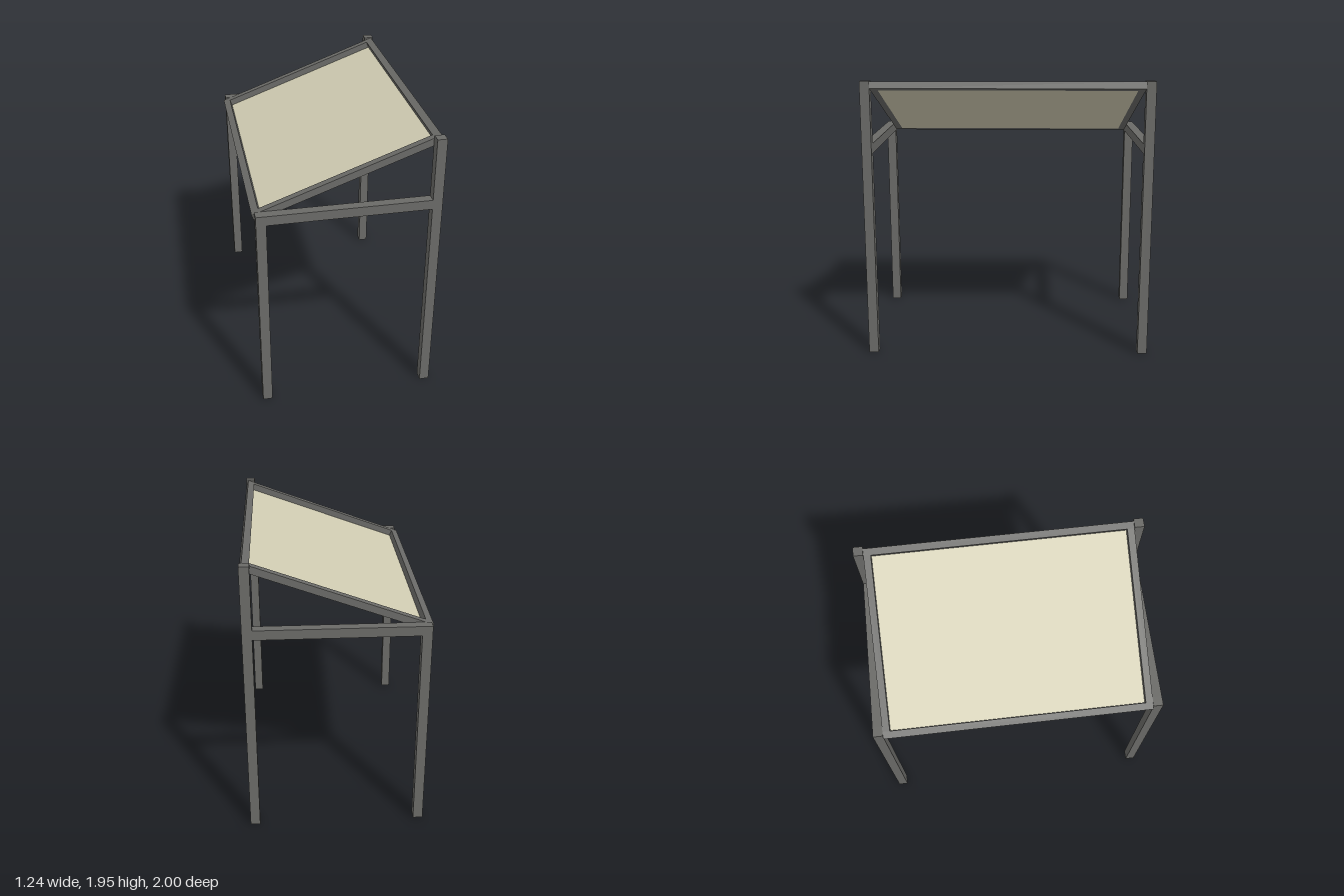
import * as THREE from 'three';

export function createModel() {
  const model = new THREE.Group();
  model.name = 'slopedShelter';

  const steel = new THREE.MeshStandardMaterial({ color: 0x6a6a67 });
  steel.name = 'grey steel';
  const sheet = new THREE.MeshStandardMaterial({ color: 0xd0ccb2 });
  sheet.name = 'cream sheet';

  // Box given by its limits on each axis
  function box(parent, name, material, [x0, x1], [y0, y1], [z0, z1]) {
    const mesh = new THREE.Mesh(new THREE.BoxGeometry(x1 - x0, y1 - y0, z1 - z0), material);
    mesh.position.set((x0 + x1) / 2, (y0 + y1) / 2, (z0 + z1) / 2);
    mesh.name = name;
    parent.add(mesh);
  }

  // Two side supports: tall post, short post and level beam
  for (const [side, z] of [['front', [0.933, 1]], ['back', [-1, -0.933]]]) {
    box(model, side + 'TallPost', steel, [0.55, 0.617], [0, 1.947], z);
    box(model, side + 'ShortPost', steel, [-0.605, -0.538], [0.005, 1.515], z);
    box(model, side + 'Beam', steel, [-0.538, 0.55], [1.448, 1.515], z);
  }

  // Sloped roof frame, built flat and then tilted
  const roof = new THREE.Group();
  roof.name = 'roof';
  roof.position.set(-0.002, 1.6965, 0);
  roof.rotation.z = Math.atan2(0.45, 1.222);
  model.add(roof);

  const L = 0.651, W = 0.933, T = 0.025, B = 0.05;
  box(roof, 'lowerRail', steel, [-L, -L + B], [-T, T], [-W, W]);
  box(roof, 'upperRail', steel, [L - B, L], [-T, T], [-W, W]);
  box(roof, 'frontRail', steel, [-L + B, L - B], [-T, T], [W - B, W]);
  box(roof, 'backRail', steel, [-L + B, L - B], [-T, T], [-W, -W + B]);

  // Thin covering near the underside of the frame
  box(roof, 'roofSheet', sheet, [-L + B, L - B], [-T, -T + 0.004], [-W + B, W - B]);

  return model;
}
